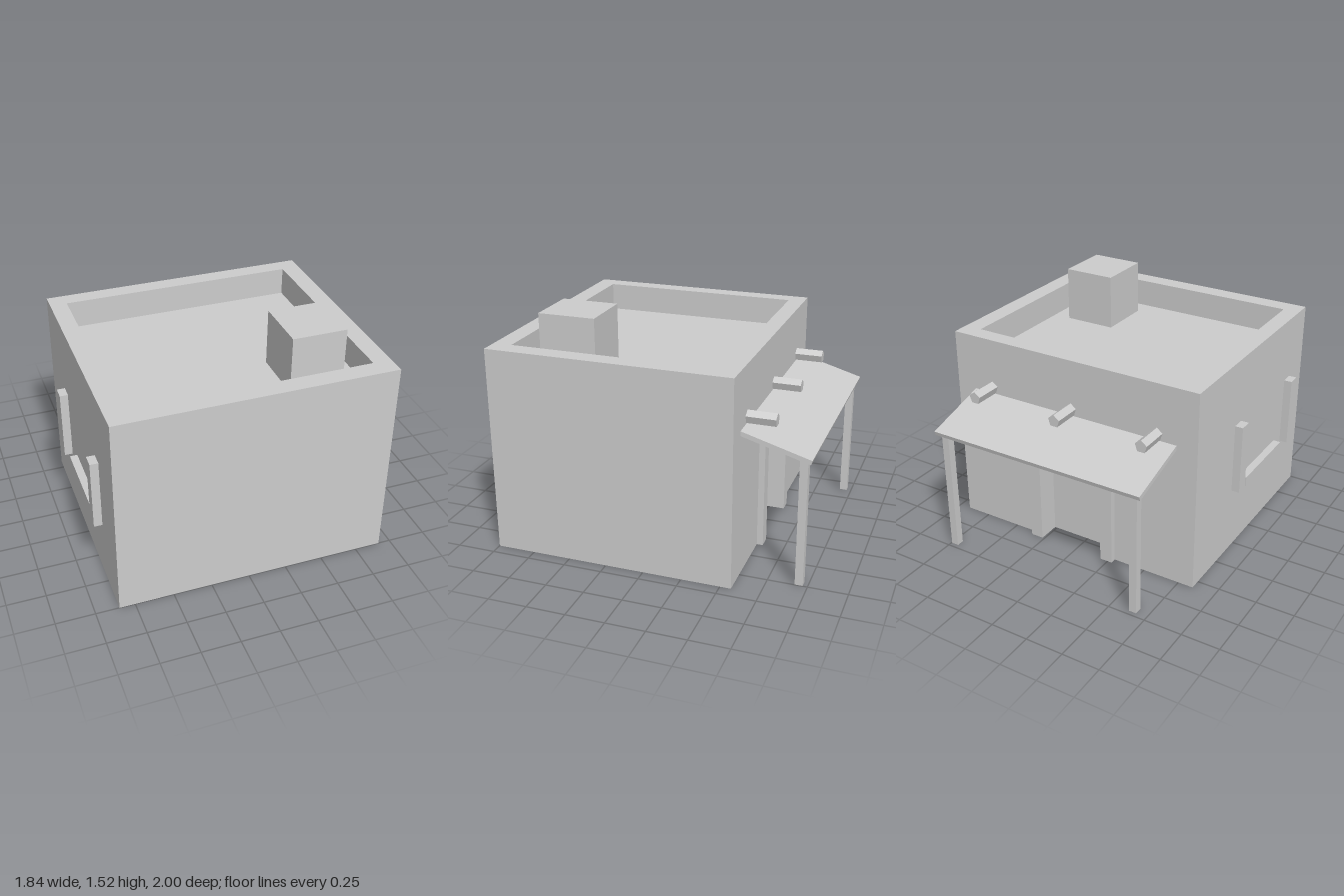
import * as THREE from 'three';

export function createModel() {
  const model = new THREE.Group();
  const plaster = new THREE.MeshStandardMaterial({ color: 0xcccccc });
  plaster.name = 'plaster grey';

  const add = (name, geometry) => {
    const mesh = new THREE.Mesh(geometry, plaster);
    mesh.name = name;
    model.add(mesh);
    return mesh;
  };
  // Box given by its lower and upper limits on each axis
  const block = (name, x0, x1, y0, y1, z0, z1) => {
    const mesh = add(name, new THREE.BoxGeometry(x1 - x0, y1 - y0, z1 - z0));
    mesh.position.set((x0 + x1) / 2, (y0 + y1) / 2, (z0 + z1) / 2);
    return mesh;
  };
  // Upright polygon in x and y, extruded from z0 to z1
  const slab = (name, points, z0, z1) => {
    const shape = new THREE.Shape(points.map(([x, y]) => new THREE.Vector2(x, y)));
    const geometry = new THREE.ExtrudeGeometry(shape, { depth: z1 - z0, bevelEnabled: false });
    return add(name, geometry.translate(0, 0, z0));
  };

  const mid = 0.035; // centre line of the house
  const left = 0.92, right = -0.85, front = 1, back = -0.57, height = 1.345;
  const inLeft = 0.8, inRight = -0.74, inFront = 0.88, inBack = -0.46, roof = 1.16;

  // House: solid core with a sunken roof, wrapped by walls that form the parapet
  block('roofAndCore', inRight, inLeft, 0, roof, inBack, inFront);
  block('frontWall', right, left, 0, height, inFront, front);
  block('leftWall', inLeft, left, 0, height, inBack, inFront);
  block('rightWall', right, inRight, 0, height, inBack, inFront);

  // Back wall with the recessed doorway
  const doorHalf = 0.23, doorTop = 0.745;
  const arch = (x0, x1, top) => [
    [x0, 0], [mid - doorHalf, 0], [mid - doorHalf, doorTop],
    [mid + doorHalf, doorTop], [mid + doorHalf, 0], [x1, 0], [x1, top], [x0, top],
  ];
  slab('backWall', arch(right, left, height), back, inBack);
  slab('doorFrame', arch(mid - 0.315, mid + 0.315, 0.82), -0.61, back);

  // Chimney
  block('chimney', 0.33, 0.68, roof, 1.525, 0.38, 0.75);

  // Sloping awning over the door
  const profile = new THREE.Shape([
    new THREE.Vector2(0.57, 0.942), new THREE.Vector2(0.992, 0.82),
    new THREE.Vector2(1, 0.848), new THREE.Vector2(0.57, 0.972),
  ]);
  const awning = add('awning', new THREE.ExtrudeGeometry(profile, { depth: 1.49, bevelEnabled: false }));
  awning.rotation.y = Math.PI / 2;
  awning.position.x = mid - 0.745;

  // Awning posts
  for (const side of [-1, 1]) {
    const x = mid + side * 0.687;
    block('awningPost', x - 0.025, x + 0.025, 0, 0.842, -0.97, -0.92);
  }

  // Five-sided roof beams poking out of the back wall
  for (const x of [-0.575, 0.035, 0.64]) {
    const points = Array.from({ length: 5 }, (_, i) => {
      const a = Math.PI / 2 + (i * Math.PI * 2) / 5;
      return [x + 0.042 * Math.cos(a), 1.013 + 0.042 * Math.sin(a)];
    });
    slab('roofBeam', points, -0.755, back);
  }

  // Window trim on the right wall
  block('windowSill', -0.9, right, 0.43, 0.495, 0.05, 0.6);
  block('windowShutter', -0.92, -0.867, 0.465, 0.93, -0.1, -0.015);
  block('windowShutter', -0.92, -0.867, 0.465, 0.93, 0.668, 0.752);

  return model;
}
